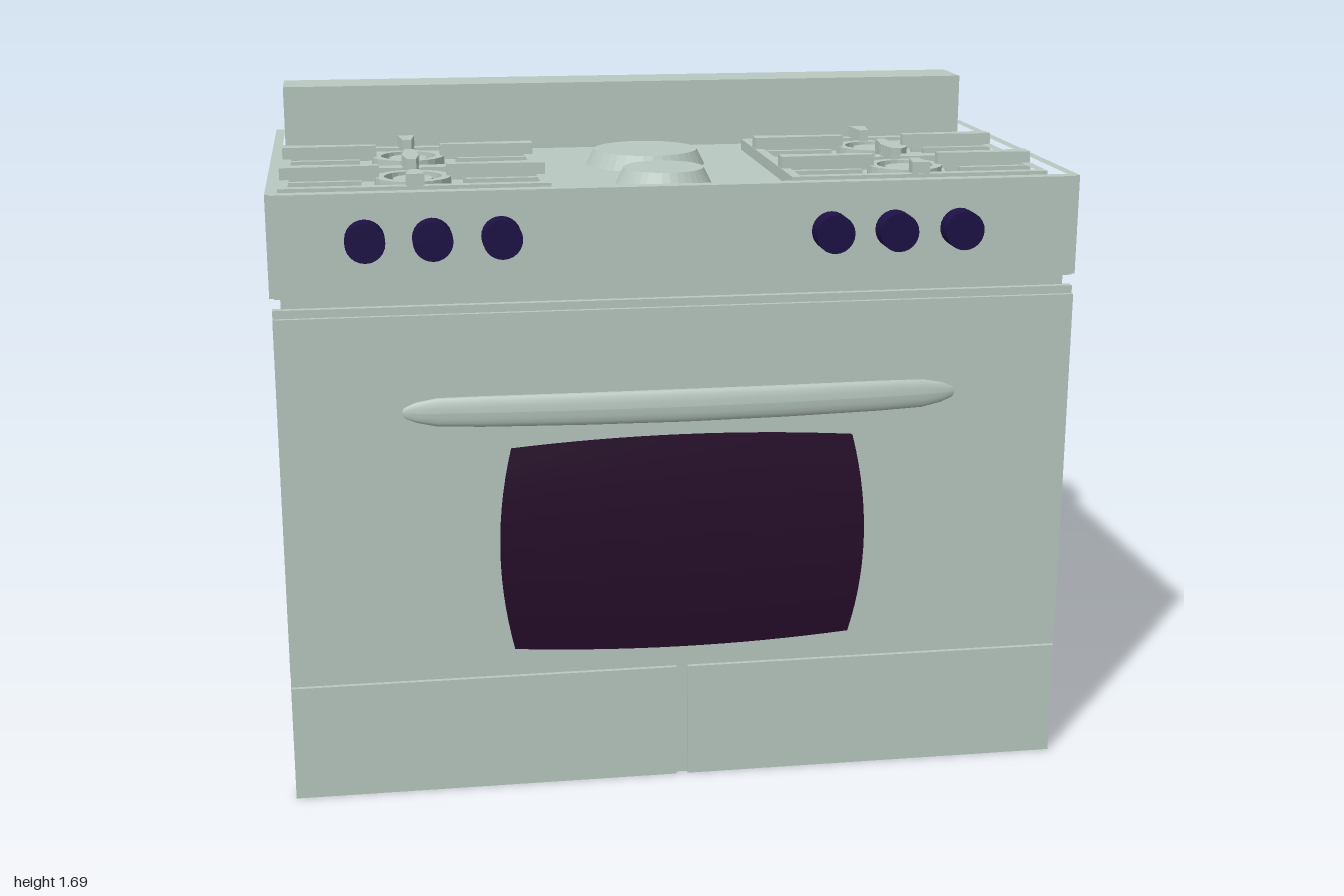
import * as THREE from 'three';

const enamel = new THREE.MeshStandardMaterial({ color: 0xb8c8c0 });
const glass = new THREE.MeshStandardMaterial({ color: 0x260d2a });
const knobPaint = new THREE.MeshStandardMaterial({ color: 0x1d1145 });

export function createModel() {
  const root = new THREE.Group();
  root.name = 'cooker';

  const add = (name, geo, mat = enamel, parent = root) => {
    const m = new THREE.Mesh(geo, mat);
    m.name = name;
    parent.add(m);
    return m;
  };
  // Box given by its limits on each axis
  const box = (name, x0, x1, y0, y1, z0, z1, parent = root) => {
    const m = add(name, new THREE.BoxGeometry(x1 - x0, y1 - y0, z1 - z0), enamel, parent);
    m.position.set((x0 + x1) / 2, (y0 + y1) / 2, (z0 + z1) / 2);
    return m;
  };
  // Rectangle path in plan; plan y becomes -z after laying flat
  const rect = (path, x0, x1, z0, z1) => {
    path.moveTo(x0, -z0).lineTo(x1, -z0).lineTo(x1, -z1).lineTo(x0, -z1).closePath();
    return path;
  };
  // Extrudes a plan shape upwards from y0 to y1
  const slab = (name, shape, y0, y1, parent = root) => {
    const geo = new THREE.ExtrudeGeometry(shape, { depth: y1 - y0, bevelEnabled: false, curveSegments: 12 });
    geo.rotateX(-Math.PI / 2).translate(0, y0, 0);
    return add(name, geo, enamel, parent);
  };

  // Carcass and front panels
  box('body', -0.975, 0.975, 0, 1.3, -0.595, 0.51);
  box('frontBacking', -0.995, 0.995, 0, 1.27, 0.505, 0.528);
  box('ovenDoor', -0.995, 0.995, 0.33, 1.25, 0.528, 0.54);
  for (const s of [-1, 1]) {
    const a = s * 0.015, b = s * 0.995;
    box('drawerFront', Math.min(a, b), Math.max(a, b), 0, 0.3, 0.528, 0.54);
  }

  // Cooktop with raised rim, control panel and backsplash
  const floorY = 1.505;
  box('cooktop', -1, 1, 1.3, floorY, -0.595, 0.528);
  const rim = rect(new THREE.Shape(), -1, 1, -0.595, 0.528);
  rim.holes.push(rect(new THREE.Path(), -0.975, 0.975, -0.575, 0.505));
  slab('cooktopRim', rim, floorY, 1.55);
  box('controlPanel', -0.988, 0.988, 1.3, 1.55, 0.528, 0.54);
  box('backsplash', -0.972, 0.972, floorY, 1.69, -0.595, -0.43);

  // Knobs
  [[-0.77, 1.44], [-0.61, 1.44], [-0.445, 1.44], [0.365, 1.43], [0.525, 1.43], [0.69, 1.43]].forEach(([x, y]) => {
    const k = add('knob', new THREE.CylinderGeometry(0.048, 0.048, 0.058, 24), knobPaint);
    k.rotation.x = Math.PI / 2;
    k.position.set(x, y, 0.567);
  });

  // Bowed handle: a tapered bar, flattened and bent outwards
  const profile = [[0, -0.7], [0.014, -0.69], [0.026, -0.66], [0.036, -0.61], [0.039, -0.5], [0.041, -0.25], [0.042, 0]];
  const points = [...profile, ...profile.slice(0, -1).reverse().map(([r, t]) => [r, -t])];
  const bar = new THREE.LatheGeometry(points.map(([r, t]) => new THREE.Vector2(r, t)), 16);
  bar.rotateZ(-Math.PI / 2);
  const bp = bar.attributes.position;
  for (let i = 0; i < bp.count; i++) {
    const t = bp.getX(i) / 0.7;
    bp.setZ(i, bp.getZ(i) * 0.36 + 0.57 - 0.033 * t * t);
    bp.setY(i, bp.getY(i) + 1.008);
  }
  bar.computeVertexNormals();
  add('handle', bar);

  // Barrel-shaped oven window with a bulging face
  const win = new THREE.BoxGeometry(2, 2, 2, 16, 14, 1);
  const wp = win.attributes.position;
  for (let i = 0; i < wp.count; i++) {
    const u = wp.getX(i), v = wp.getY(i);
    const front = 0.55 + 0.019 * (1 - v * v);
    wp.setXYZ(i, u * (0.463 - 0.032 * v * v), 0.643 + v * (0.282 - 0.018 * u * u), wp.getZ(i) > 0 ? front : 0.538);
  }
  win.computeVertexNormals();
  add('ovenWindow', win, glass);

  // Hot plates with sloping edges
  for (const [z, r] of [[-0.115, 0.16], [0.21, 0.123]]) {
    const p = add('hotPlate', new THREE.CylinderGeometry(r - 0.02, r, 0.04, 36).toNonIndexed());
    p.geometry.computeVertexNormals();
    p.position.set(0, floorY + 0.02, z);
  }

  // Pan grates: frame, burner rings and tapered fingers
  for (const s of [-1, 1]) {
    const grate = new THREE.Group();
    grate.name = 'panGrate';
    grate.position.x = s * 0.64;
    root.add(grate);

    const frame = rect(new THREE.Shape(), -0.335, 0.335, -0.32, 0.36);
    frame.holes.push(rect(new THREE.Path(), -0.31, 0.31, -0.29, 0.02));
    frame.holes.push(rect(new THREE.Path(), -0.31, 0.31, 0.065, 0.332));
    slab('grateFrame', frame, floorY, 1.535, grate);

    for (const z of [-0.145, 0.2]) {
      const ring = new THREE.Shape().absarc(0, 0, 0.097, 0, Math.PI * 2);
      ring.holes.push(new THREE.Path().absarc(0, 0, 0.073, 0, Math.PI * 2));
      slab('burnerRing', ring, floorY, 1.535, grate).position.z = z;
      const cap = add('burnerCap', new THREE.CylinderGeometry(0.05, 0.055, 0.025, 24), enamel, grate);
      cap.position.set(0, floorY + 0.0125, z);

      // Finger from distance a (narrow tip) to b (wide foot), turned about the burner
      const finger = (a, b, turn) => {
        const f = new THREE.Shape();
        f.moveTo(a, -0.012).lineTo(b, -0.023).lineTo(b, 0.023).lineTo(a, 0.012).closePath();
        const m = slab('grateFinger', f, 1.525, 1.565, grate);
        m.rotation.y = turn;
        m.position.z = z;
      };
      finger(0.085, 0.333, 0);
      finger(0.085, 0.333, Math.PI);
      finger(0.085, z < 0 ? 0.174 : 0.17, Math.PI / 2);
      finger(0.085, z < 0 ? 0.188 : 0.158, -Math.PI / 2);

      // Side bars reaching in from the frame on both sides of each finger
      for (const e of [-1, 1]) for (const d of [-0.06, 0.06]) {
        const a = e * 0.13, b = e * 0.32;
        box('grateBar', Math.min(a, b), Math.max(a, b), floorY, 1.535, z + d - 0.009, z + d + 0.009, grate);
      }
    }
  }
  return root;
}
